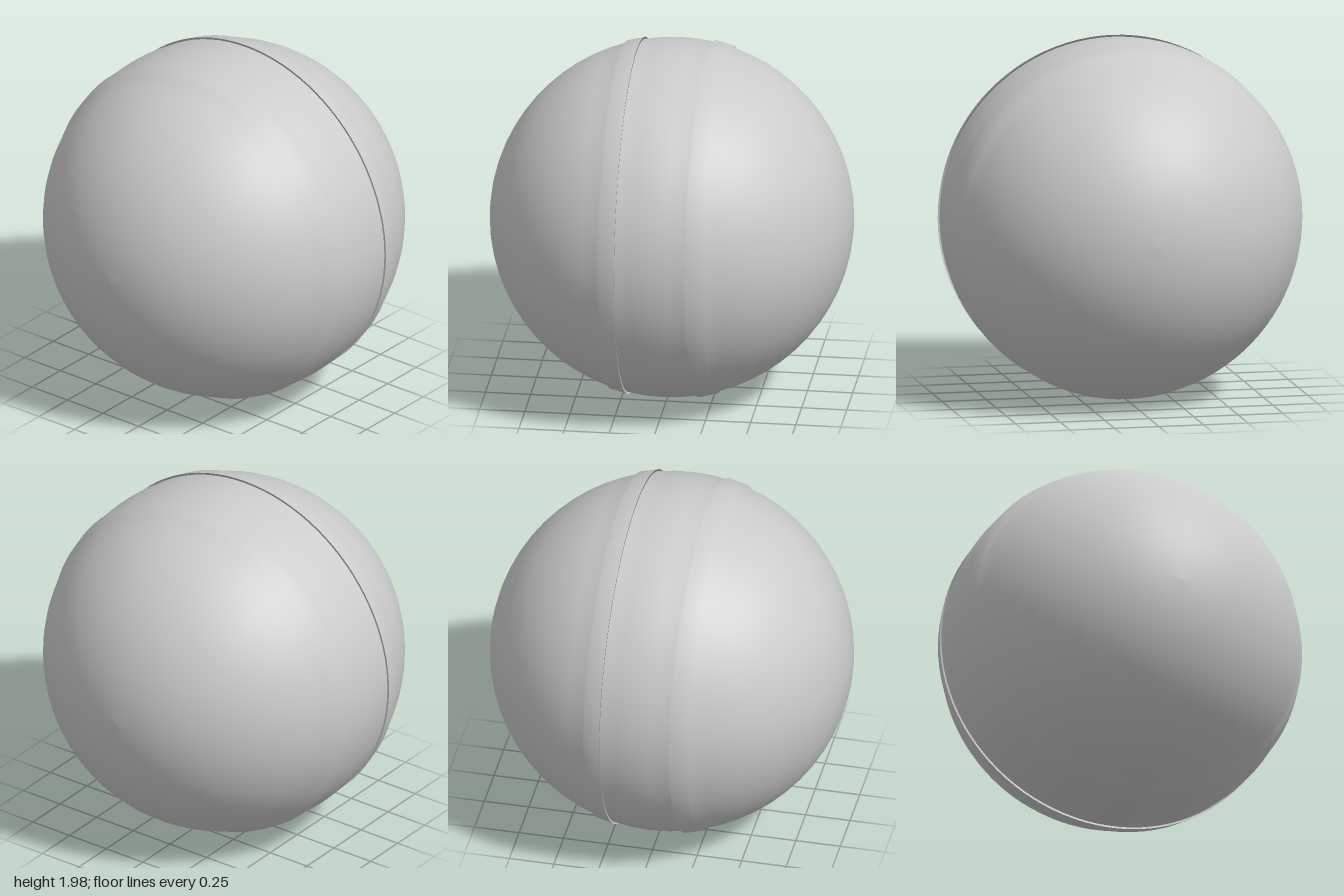
import * as THREE from 'three';

const R = 0.99;        // radius at the equator; the poles reach z = +-1
const RAISE = 1.011;   // how far the two bands stand proud
const STEPS = 32;      // latitude steps, pole to pole

export function createModel() {
  const group = new THREE.Group();
  group.name = 'bandedBall';

  // Profile from back pole to front pole, stepping out and back at each band
  const profile = [];
  for (let i = 0; i <= STEPS; i++) {
    const a = (i / STEPS) * Math.PI;
    const r = i % STEPS === 0 ? 0 : R * Math.sin(a);
    const z = -Math.cos(a);
    const fromEquator = i - STEPS / 2;
    const base = new THREE.Vector2(r, z);
    const raised = new THREE.Vector2(r * RAISE, z);
    if (fromEquator === -3 || fromEquator === 2) profile.push(base, raised);
    else if (fromEquator === -2 || fromEquator === 3) profile.push(raised, base);
    else profile.push(base);
  }

  // One smooth skin, so the shading rolls softly over the band edges
  const geometry = new THREE.LatheGeometry(profile, 96);
  geometry.rotateX(Math.PI / 2);
  const ball = new THREE.Mesh(geometry, new THREE.MeshStandardMaterial({ color: 0xcccccc }));
  ball.name = 'ballWithRaisedBands';
  ball.position.y = R;
  group.add(ball);
  return group;
}
